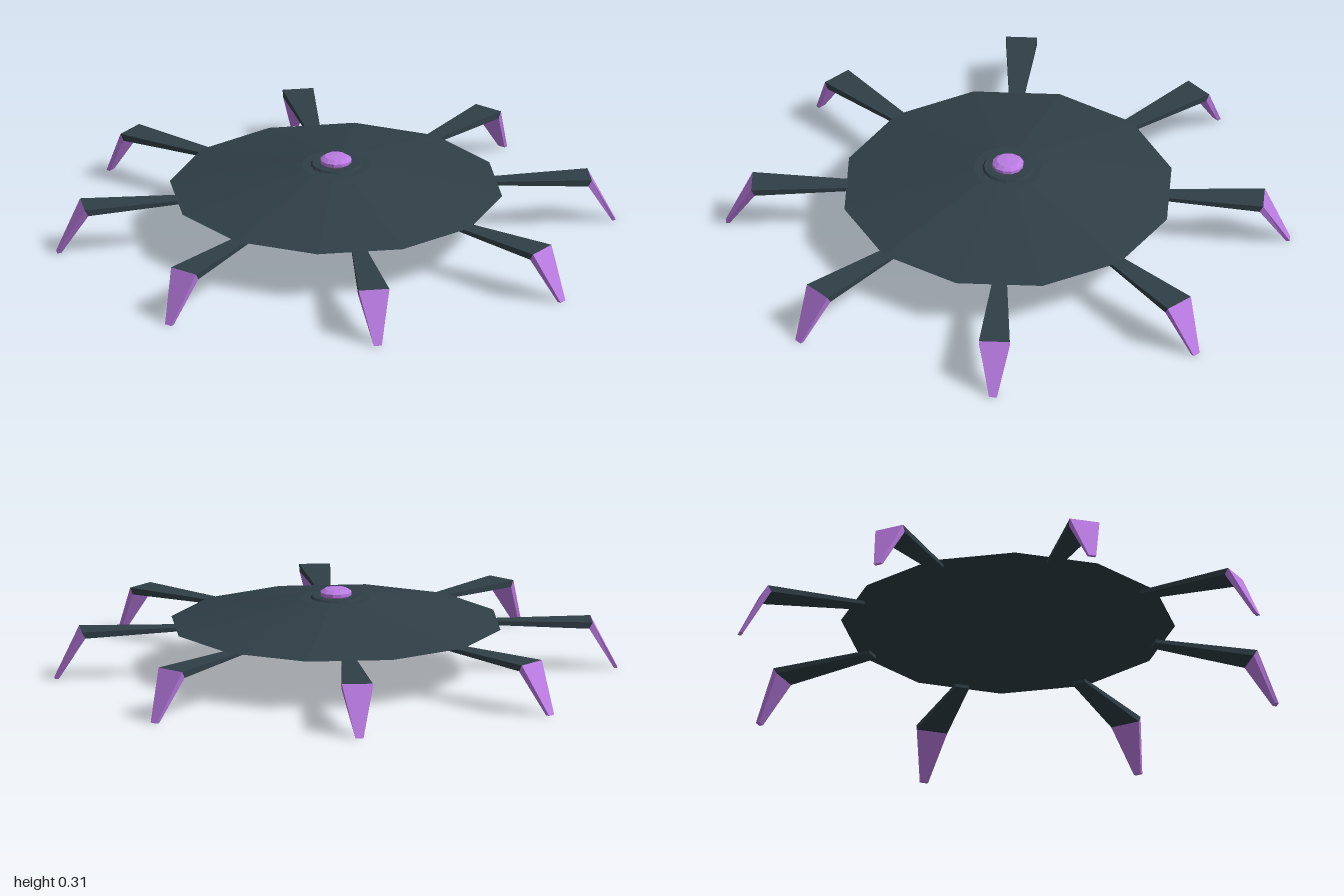
import * as THREE from 'three';

const shell = new THREE.MeshStandardMaterial({ color: 0x2f3e46, flatShading: true });
shell.name = 'dark slate';
const violet = new THREE.MeshStandardMaterial({ color: 0xbb7be3, flatShading: true });
violet.name = 'violet';

// Four-sided bar along +z, lofted between two rectangles
// each end: { w: half width, top: [y, z], low: [y, z] }
function taperedBar(a, b) {
  const g = new THREE.BoxGeometry(2, 1, 1);
  const p = g.attributes.position;
  for (let i = 0; i < p.count; i++) {
    const end = p.getZ(i) > 0 ? b : a;
    const [y, z] = p.getY(i) > 0 ? end.top : end.low;
    p.setXYZ(i, Math.sign(p.getX(i)) * end.w, y, z);
  }
  g.computeVertexNormals();
  return g;
}

function lathe(points, sides) {
  return new THREE.LatheGeometry(points.map(([r, y]) => new THREE.Vector2(r, y)), sides);
}

export function createModel() {
  const group = new THREE.Group();
  const add = (name, geometry, material, parent = group) => {
    const mesh = new THREE.Mesh(geometry, material);
    mesh.name = name;
    parent.add(mesh);
    return mesh;
  };

  // Shallow twelve-sided disc, collar and domed lens
  add('body', lathe([[0, 0.18], [0.592, 0.18], [0.125, 0.273], [0, 0.274]], 12), shell);
  add('collar', lathe([[0.08, 0.262], [0.092, 0.272], [0.085, 0.281], [0.058, 0.279], [0, 0.277]], 16), shell);
  add('lens', lathe([[0.042, 0.27], [0.056, 0.284], [0.056, 0.295], [0.04, 0.306], [0, 0.31]], 12), violet);

  // Eight radial legs with downturned claws
  const legGeometry = taperedBar(
    { w: 0.025, top: [0.181, 0.54], low: [0.168, 0.54] },
    { w: 0.055, top: [0.177, 0.908], low: [0.154, 0.895] }
  );
  const clawGeometry = taperedBar(
    { w: 0.055, top: [0.154, 0.895], low: [0.177, 0.908] },
    { w: 0.014, top: [0, 0.986], low: [0, 1] }
  );
  // the claw's upper side is its inner one, so reverse its winding
  const idx = clawGeometry.index;
  for (let i = 0; i < idx.count; i += 3) {
    const t = idx.getX(i);
    idx.setX(i, idx.getX(i + 1));
    idx.setX(i + 1, t);
  }
  clawGeometry.computeVertexNormals();

  for (let i = 0; i < 8; i++) {
    const limb = new THREE.Group();
    limb.name = 'limb' + (i + 1);
    limb.rotation.y = (i * Math.PI) / 4;
    add('leg', legGeometry, shell, limb);
    add('claw', clawGeometry, violet, limb);
    group.add(limb);
  }
  return group;
}
